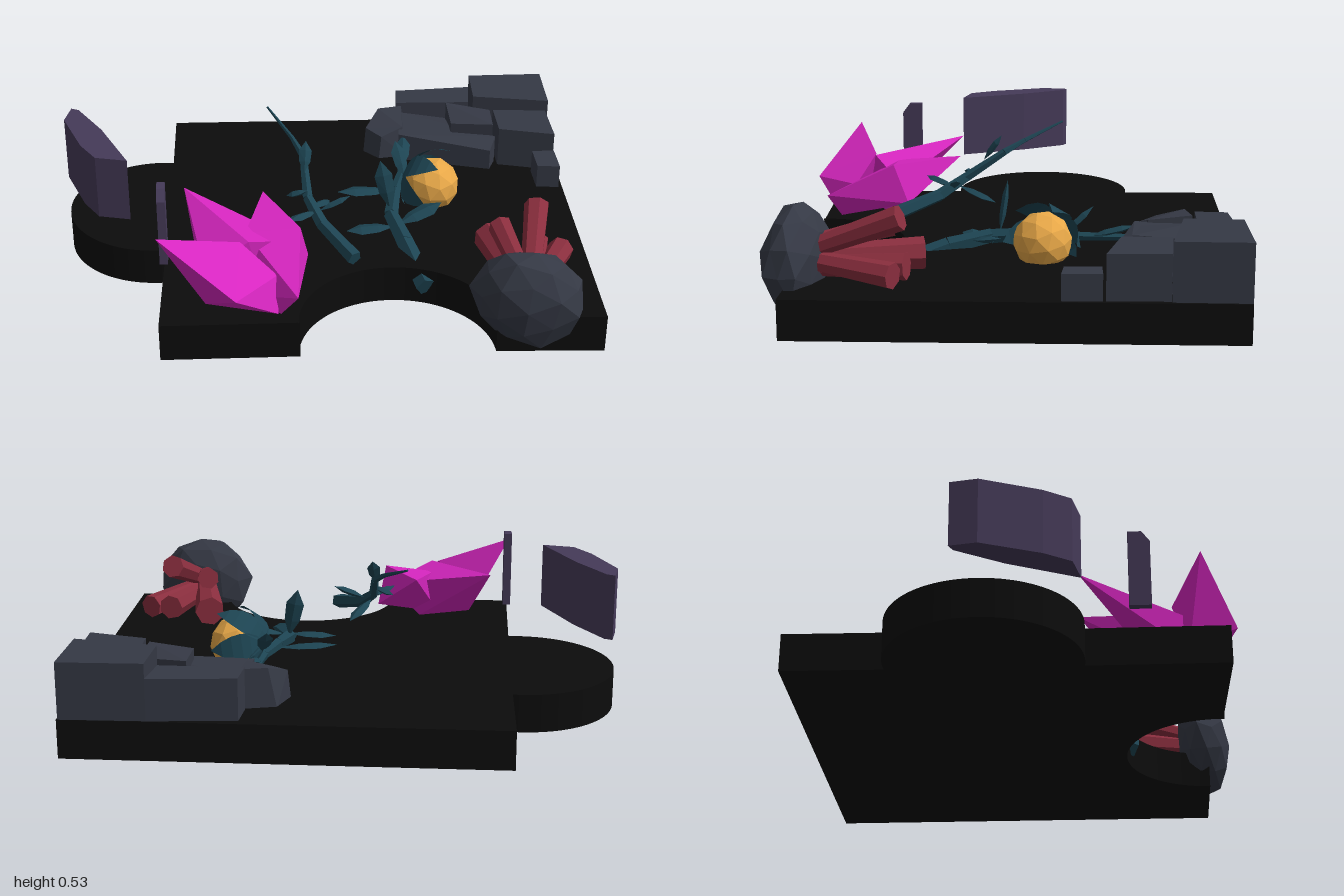
import * as THREE from 'three';
import { ConvexGeometry } from 'three/addons/geometries/ConvexGeometry.js';
import { ParametricGeometry } from 'three/addons/geometries/ParametricGeometry.js';

const V = (p) => new THREE.Vector3(...p);
const mat = (color, side = THREE.FrontSide) =>
  new THREE.MeshStandardMaterial({ color, side, flatShading: true });
const black = mat(0x0c0c0c), slate = mat(0x353945), magenta = mat(0xd726c0), teal = mat(0x1d4452);
const gold = mat(0xe8a848), red = mat(0x8a2e3e), plum = mat(0x453a58);
const tealThin = mat(0x1d4452, THREE.DoubleSide);

function add(parent, name, geometry, material) {
  const mesh = new THREE.Mesh(geometry, material);
  mesh.name = name;
  parent.add(mesh);
  return mesh;
}

function subgroup(parent, name) {
  const g = new THREE.Group();
  g.name = name;
  parent.add(g);
  return g;
}

const hull = (points) => new ConvexGeometry(points.map(V));

// Prism or cone between two points
function rod(a, b, r0, r1, sides) {
  const A = V(a), B = V(b), d = B.clone().sub(A);
  const g = new THREE.CylinderGeometry(r1, r0, d.length(), sides);
  g.applyQuaternion(new THREE.Quaternion().setFromUnitVectors(new THREE.Vector3(0, 1, 0), d.normalize()));
  return g.translate(...A.add(B).multiplyScalar(0.5).toArray());
}

// Thin faceted blade from a to b
function leaf(a, b, width) {
  const A = V(a), B = V(b), d = B.clone().sub(A);
  const up = Math.abs(d.y) > d.length() * 0.7 ? new THREE.Vector3(0, 0, 1) : new THREE.Vector3(0, 1, 0);
  const side = d.clone().cross(up).normalize();
  const normal = side.clone().cross(d).normalize();
  const pts = [A, B];
  for (const [t, w] of [[0.35, 0.85], [0.7, 1]])
    for (const s of [-1, 1]) {
      pts.push(A.clone().addScaledVector(d, t).addScaledVector(side, s * w * width / 2));
      pts.push(A.clone().addScaledVector(d, t).addScaledVector(normal, s * 0.012));
    }
  return new ConvexGeometry(pts);
}

// Upright block from a footprint of [x, z] corners
const block = (foot, y0, y1, slope = 0) =>
  hull(foot.flatMap(([x, z], i) => [[x, y0, z], [x, y1 - slope * (i % 2), z]]));

function stem(parent, points, r0, r1) {
  const n = points.length - 1;
  const r = (i) => r0 + (r1 - r0) * i / n;
  for (let i = 0; i < n; i++) add(parent, 'stem', rod(points[i], points[i + 1], r(i), r(i + 1), 5), teal);
}

export function createModel() {
  const model = new THREE.Group();
  model.name = 'reefTile';

  // Base tile with a round tab and a round notch
  const s = new THREE.Shape();
  s.moveTo(-0.625, -0.735);
  s.lineTo(-0.125, -0.74);
  s.absarc(0.225, -0.745, 0.355, Math.PI, 0, true);
  s.lineTo(0.97, -0.765);
  s.lineTo(0.995, 0.83);
  s.lineTo(-0.6, 0.86);
  s.absarc(-0.645, 0.135, 0.355, 1.45, 4.8, false);
  add(model, 'baseTile',
    new THREE.ExtrudeGeometry(s, { depth: 0.145, bevelEnabled: false, curveSegments: 28 }).rotateX(-Math.PI / 2), black);

  // Floating ribbon fragments over the tab
  const ribbon = new THREE.Shape([
    [-0.98, 0.24], [-0.95, 0.225], [-0.85, 0.05], [-0.74, -0.21], [-0.86, -0.18], [-0.92, -0.08], [-1, 0.14],
  ].map(([x, y]) => new THREE.Vector2(x, y)));
  add(model, 'ribbonFragment',
    new THREE.ExtrudeGeometry(ribbon, { depth: 0.25, bevelEnabled: false }).rotateX(-Math.PI / 2).translate(0, 0.28, 0), plum);
  add(model, 'ribbonSliver', hull([-0.625, -0.595].flatMap((x) =>
    [[x, 0.23, 0.38], [x, 0.23, 0.46], [x, 0.49, 0.46], [x, 0.53, 0.43], [x, 0.53, 0.38]])), plum);

  // Crystal cluster
  const crystals = subgroup(model, 'crystals');
  [
    [[-0.625, 0.445, 0.64], [-0.46, 0.145, 0.6], [-0.35, 0.27, 0.79], [-0.2, 0.145, 0.68], [-0.2, 0.27, 0.62], [-0.33, 0.37, 0.55]],
    [[-0.535, 0.405, 0.2], [-0.46, 0.145, 0.58], [-0.46, 0.27, 0.58], [-0.3, 0.37, 0.55], [-0.12, 0.3, 0.44], [-0.25, 0.145, 0.5]],
    [[-0.24, 0.38, 0.2], [-0.08, 0.22, 0.4], [-0.11, 0.37, 0.46], [-0.13, 0.24, 0.73], [-0.19, 0.145, 0.68], [-0.33, 0.145, 0.55], [-0.31, 0.35, 0.45]],
  ].forEach((points) => add(crystals, 'crystal', hull(points), magenta));

  // Tall weed
  const tall = subgroup(model, 'tallWeed');
  stem(tall, [[0.09, 0.22, 0.44], [-0.02, 0.27, 0.27], [-0.07, 0.33, 0.17], [-0.08, 0.43, 0.02], [-0.12, 0.47, -0.06], [-0.21, 0.53, -0.21]], 0.03, 0.004);
  [
    [[-0.06, 0.3, 0.2], [0.02, 0.25, 0.05], 0.05],
    [[-0.04, 0.3, 0.22], [-0.15, 0.32, 0.33], 0.05],
    [[-0.03, 0.3, 0.22], [0.09, 0.35, 0.2], 0.04],
    [[-0.07, 0.36, 0.17], [-0.15, 0.33, 0.15], 0.04],
    [[-0.08, 0.4, 0.1], [-0.07, 0.5, 0.03], 0.05],
  ].forEach((l) => add(tall, 'leaf', leaf(...l), teal));

  // Flowering weed
  const weed = subgroup(model, 'floweringWeed');
  stem(weed, [[0.36, 0.08, 0.43], [0.3, 0.15, 0.22], [0.26, 0.18, 0.06], [0.29, 0.2, -0.1], [0.33, 0.2, -0.24], [0.35, 0.2, -0.48]], 0.04, 0.012);
  [
    [[0.27, 0.17, 0.13], [0.08, 0.16, 0.14], 0.08],
    [[0.28, 0.17, 0.12], [0.46, 0.22, 0.04], 0.09],
    [[0.29, 0.19, -0.12], [0.06, 0.2, -0.1], 0.08],
    [[0.26, 0.19, 0.03], [0.22, 0.39, 0], 0.07],
    [[0.34, 0.2, -0.2], [0.31, 0.31, -0.32], 0.06],
    [[0.34, 0.2, -0.3], [0.36, 0.25, -0.48], 0.06],
  ].forEach((l) => add(weed, 'leaf', leaf(...l), teal));

  // Golden bulb cupped by petals
  const flower = subgroup(weed, 'flower');
  flower.position.set(0.44, 0.21, -0.13);
  flower.quaternion.setFromUnitVectors(new THREE.Vector3(0, 1, 0), new THREE.Vector3(-0.88, 0.2, -0.42).normalize());
  add(flower, 'bulb', new THREE.IcosahedronGeometry(0.11, 1), gold);
  const petal = new ParametricGeometry((u, v, out) => {
    const r = 0.118 + 0.035 * v * v, t = v * 1.75;
    out.set(r * Math.sin(t), r * Math.cos(t), (u - 0.5) * 0.1 * Math.pow(Math.sin(Math.PI * Math.min(v, 0.999)), 0.8));
  }, 2, 6);
  for (let i = 0; i < 6; i++) add(flower, 'petal', petal, tealThin).rotation.y = i * Math.PI / 3;

  // Stepped stone blocks: footprint, bottom, top, slope
  const stones = subgroup(model, 'stoneBlocks');
  [
    [[[0.68, -0.83], [0.99, -0.83], [0.98, -0.56], [0.67, -0.62]], 0.355, 0],
    [[[0.36, -0.81], [0.68, -0.83], [0.66, -0.68], [0.35, -0.69]], 0.3, 0],
    [[[0.56, -0.66], [0.74, -0.6], [0.73, -0.44], [0.56, -0.48]], 0.31, 0.01],
    [[[0.75, -0.58], [0.97, -0.56], [0.97, -0.34], [0.75, -0.4]], 0.31, 0],
    [[[0.36, -0.68], [0.57, -0.67], [0.74, -0.43], [0.71, -0.36], [0.34, -0.47]], 0.26, 0.03],
    [[[0.88, -0.33], [0.97, -0.33], [0.97, -0.19], [0.88, -0.2]], 0.24, 0],
  ].forEach(([foot, top, slope]) => add(stones, 'stone', block(foot, 0.14, top, slope), slate));
  add(stones, 'endStone', hull([
    [0.2, 0.14, -0.55], [0.24, 0.14, -0.66], [0.37, 0.14, -0.69], [0.38, 0.14, -0.5], [0.26, 0.14, -0.48],
    [0.21, 0.25, -0.56], [0.27, 0.29, -0.66], [0.37, 0.29, -0.68], [0.36, 0.27, -0.52], [0.27, 0.24, -0.49]]), slate);

  // Boulder on the front edge, with uneven facets
  const rock = new THREE.IcosahedronGeometry(1, 1);
  const p = rock.attributes.position;
  for (let i = 0; i < p.count; i++) {
    const [x, y, z] = [p.getX(i), p.getY(i), p.getZ(i)];
    const k = 1 + 0.07 * Math.sin(5 * x + 3 * y) * Math.cos(4 * z - 2 * y);
    p.setXYZ(i, x * k + 0.12 * y * Math.abs(y) * -0.6, y * k, z * k);
  }
  rock.scale(0.205, 0.19, 0.11);
  const boulder = add(model, 'boulder', rock, slate);
  boulder.position.set(0.69, 0.215, 0.735);
  boulder.rotation.set(0, -0.2, -0.15);

  // Coral tubes fanning out behind the boulder
  const coral = subgroup(model, 'coral');
  [
    [[0.68, 0.21, 0.68], [0.61, 0.21, 0.29], 0.06],
    [[0.7, 0.25, 0.68], [0.77, 0.38, 0.36], 0.047],
    [[0.71, 0.21, 0.68], [0.87, 0.2, 0.38], 0.048],
    [[0.68, 0.26, 0.68], [0.63, 0.32, 0.4], 0.045],
    [[0.7, 0.19, 0.68], [0.78, 0.21, 0.34], 0.05],
  ].forEach(([a, b, r]) => add(coral, 'coralTube', rod(a, b, r * 0.75, r, 7), red));

  return model;
}
